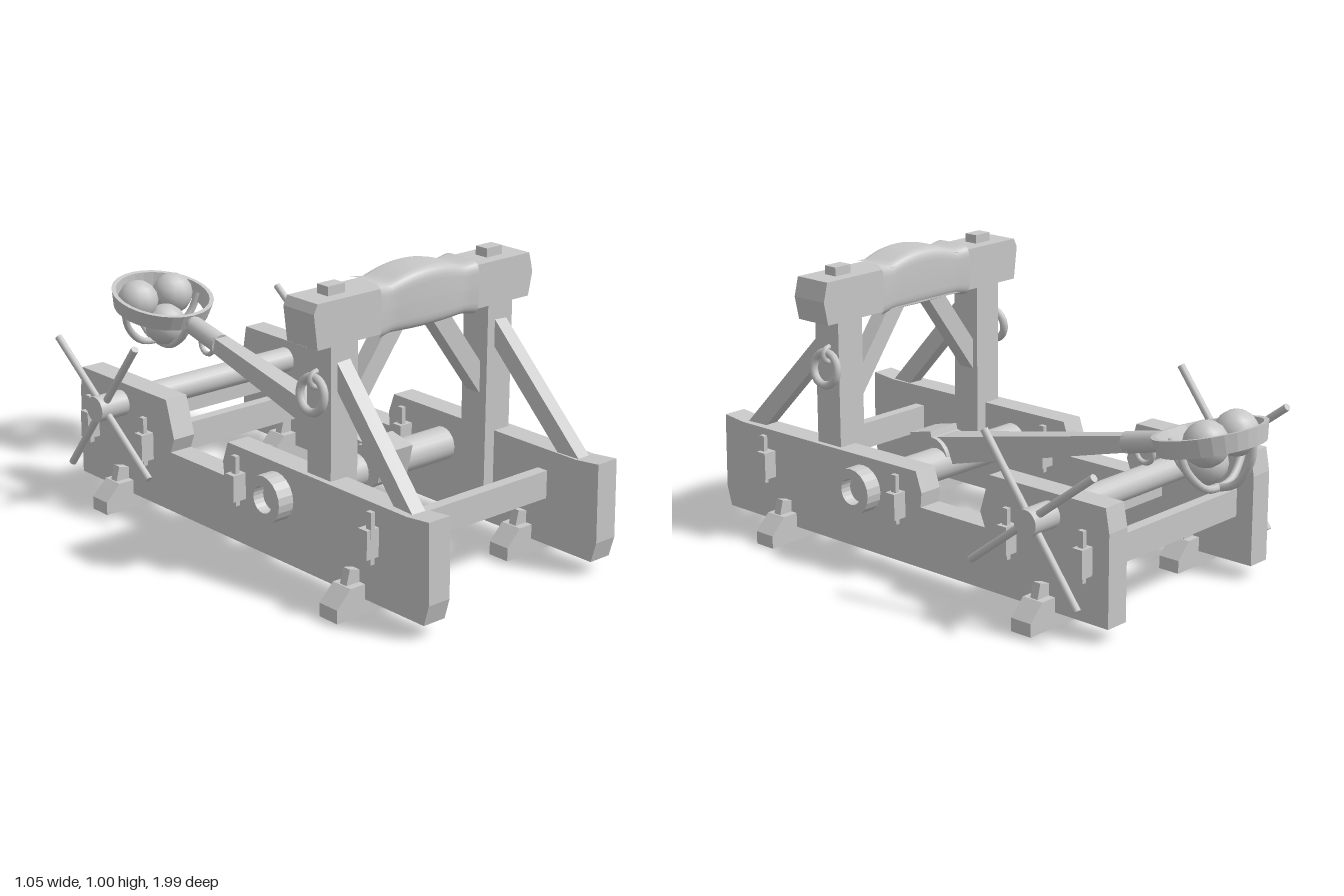
import * as THREE from 'three';

export function createModel() {
  const model = new THREE.Group();
  const grey = new THREE.MeshStandardMaterial({ color: 0xc8c8c8 });

  const add = (name, geo, x = 0, y = 0, z = 0, parent = model) => {
    const m = new THREE.Mesh(geo, grey);
    m.name = name;
    m.position.set(x, y, z);
    parent.add(m);
    return m;
  };
  const box = (name, w, h, d, x, y, z) => add(name, new THREE.BoxGeometry(w, h, d), x, y, z);
  // Round bar lying along x
  const rod = (name, r, len, x, y, z, sides = 20) =>
    add(name, new THREE.CylinderGeometry(r, r, len, sides).rotateZ(Math.PI / 2), x, y, z);
  // Square bar between two points
  const bar = (name, a, b, w, h) => {
    const p = new THREE.Vector3(...a), q = new THREE.Vector3(...b);
    const m = add(name, new THREE.BoxGeometry(w, h, p.distanceTo(q)));
    m.position.copy(p).add(q).multiplyScalar(0.5);
    m.lookAt(q);
    return m;
  };
  const extrude = (points, depth) => {
    const shape = new THREE.Shape(points.map(p => new THREE.Vector2(...p)));
    return new THREE.ExtrudeGeometry(shape, { depth, bevelEnabled: false }).translate(0, 0, -depth / 2);
  };

  const railProfile = [[0.98, 0.05], [1, 0.12], [0.995, 0.385], [0.9, 0.375], [0.06, 0.38], [0.035, 0.31],
    [0.04, 0.26], [-0.245, 0.26], [-0.225, 0.31], [-0.265, 0.44], [-0.74, 0.44], [-0.755, 0.36], [-0.755, 0.05]];
  const footProfile = [[-0.155, 0], [0.155, 0], [0.155, 0.045], [0.1, 0.1], [-0.1, 0.1], [-0.155, 0.045]];
  const peg = (x, z) => {
    box('peg', 0.016, 0.17, 0.022, x, 0.275, z);
  };

  for (const s of [-1, 1]) {
    // Long side rails
    add('sideRail', extrude(railProfile, 0.086).rotateY(-Math.PI / 2), s * 0.368, 0, 0);

    // Feet with slanted wedges
    for (const z of [0.68, -0.5]) {
      add('foot', extrude(footProfile, 0.08), s * 0.37, 0, z);
      for (const t of [-1, 1]) {
        const w = box('footWedge', 0.055, 0.06, 0.03, s * 0.37 + t * 0.062, 0.115, z);
        w.rotation.z = t * 0.25;
      }
    }

    // Uprights, front braces and inner braces
    box('upright', 0.11, 0.66, 0.11, s * 0.337, 0.49, 0.485);
    bar('frontBrace', [s * 0.362, 0.33, 0.9], [s * 0.338, 0.755, 0.5], 0.052, 0.062);
    const inner = box('innerBrace', 0.4, 0.065, 0.06, s * 0.19, 0.685, 0.48);
    inner.rotation.z = -s * 0.925;

    // Pegs and the short stub beams
    box('stubBeam', 0.19, 0.09, 0.04, s * 0.367, 0.255, 0.13);
    peg(s * 0.295, 0.13);
    for (const z of [0.77, 0.13, -0.36, -0.67]) peg(s * 0.437, z);

    // Tenon on the top beam
    box('tenon', 0.07, 0.06, 0.05, s * 0.34, 0.96, 0.48);

    // Hanging ring and its staple
    const ring = add('hangingRing', new THREE.TorusGeometry(0.056, 0.014, 8, 20).rotateY(Math.PI / 2),
      s * 0.412, 0.648, 0.475);
    ring.rotation.z = s * 0.12;
    add('staple', new THREE.TorusGeometry(0.025, 0.01, 6, 12), s * 0.395, 0.695, 0.475);

    // Hollow bearing collar on the arm axle
    const collar = [[0.045, -0.03], [0.08, -0.03], [0.08, 0.03], [0.045, 0.03], [0.045, -0.03]];
    const geo = new THREE.LatheGeometry(collar.map(p => new THREE.Vector2(...p)), 20).toNonIndexed();
    geo.computeVertexNormals();
    add('axleCollar', geo.rotateZ(Math.PI / 2), s * 0.44, 0.268, 0.305);

    // Winch spokes
    for (let i = 0; i < 2; i++) {
      const spoke = add('winchSpoke', new THREE.CylinderGeometry(0.013, 0.013, 0.63, 10),
        s * 0.493, 0.37, -0.51);
      spoke.rotation.x = 0.65 + i * Math.PI / 2;
    }
  }

  // Cross beams and axles
  for (const z of [0.76, -0.36, -0.67]) box('crossBeam', 0.92, 0.095, 0.04, 0, 0.257, z);
  rod('armAxle', 0.058, 0.86, 0, 0.268, 0.3);
  rod('winchAxle', 0.045, 1.05, 0, 0.367, -0.515);

  // Top beam with pointed ends
  add('topBeam', extrude([[-0.455, 0.815], [0.455, 0.815], [0.472, 0.895], [0.455, 0.96],
    [-0.455, 0.96], [-0.47, 0.93]], 0.14), 0, 0, 0.48);

  // Padded wrap: a tube pressed into a soft square that swells in the middle
  const pad = new THREE.CylinderGeometry(1, 1, 0.42, 32, 16, true).rotateZ(Math.PI / 2);
  const pp = pad.attributes.position;
  const soft = v => Math.sign(v) * Math.pow(Math.abs(v), 0.38);
  for (let i = 0; i < pp.count; i++) {
    const t = Math.abs(pp.getX(i)) / 0.21;
    const swell = Math.max(0, 1 - t * t * 1.7);
    const flare = Math.max(0, t - 0.72) / 0.28;
    pp.setY(i, 0.888 + 0.014 * swell + soft(pp.getY(i)) * (0.08 + 0.018 * swell + 0.01 * flare));
    pp.setZ(i, 0.482 + 0.006 * swell + soft(pp.getZ(i)) * (0.079 + 0.006 * swell + 0.006 * flare));
  }
  pad.computeVertexNormals();
  add('paddedWrap', pad);

  // Tapered throwing arm with its hub, socket and hook
  const arm = bar('throwingArm', [0, 0.3, 0.35], [0, 0.5, -0.5], 0.1, 0.1);
  const ap = arm.geometry.attributes.position;
  for (let i = 0; i < ap.count; i++) {
    if (ap.getZ(i) > 0) {
      ap.setX(i, ap.getX(i) * 0.54);
      ap.setY(i, ap.getY(i) * 0.55);
    }
  }
  arm.geometry.computeVertexNormals();
  rod('armHub', 0.075, 0.13, 0, 0.285, 0.325);
  const block = box('hubBlock', 0.13, 0.11, 0.1, 0, 0.315, 0.365);
  block.rotation.x = 0.23;
  const socket = add('armSocket', new THREE.CylinderGeometry(0.035, 0.037, 0.15, 16).rotateX(-Math.PI / 2),
    0, 0.515, -0.56);
  socket.rotation.x = 0.23;
  add('hook', new THREE.TorusGeometry(0.035, 0.009, 8, 16).rotateY(Math.PI / 2), 0, 0.48, -0.56);

  // Basket: tilted band with curved ribs beneath
  const basket = new THREE.Group();
  basket.name = 'basket';
  basket.position.set(0, 0.585, -0.82);
  basket.rotation.x = 0.23;
  model.add(basket);
  const band = [[0.158, -0.032], [0.172, -0.032], [0.186, 0.028], [0.17, 0.028], [0.158, -0.032]];
  const bandGeo = new THREE.LatheGeometry(band.map(p => new THREE.Vector2(...p)), 28).toNonIndexed();
  bandGeo.computeVertexNormals();
  add('basketBand', bandGeo, 0, 0, 0, basket);
  const ribCurve = new THREE.CatmullRomCurve3([[-0.166, 0], [-0.14, -0.08], [-0.07, -0.148], [0, -0.16],
    [0.07, -0.148], [0.14, -0.08], [0.166, 0]].map(([x, y]) => new THREE.Vector3(x, y, 0)));
  for (let i = 0; i < 2; i++) {
    const rib = add('basketRib', new THREE.TubeGeometry(ribCurve, 24, 0.013, 8), 0, 0, 0, basket);
    rib.rotation.y = i * Math.PI / 2;
  }
  add('basketNeck', new THREE.CylinderGeometry(0.024, 0.024, 0.06, 12).rotateX(Math.PI / 2), 0, 0, 0.2, basket);

  // Stones in the basket
  for (const [x, y, z] of [[-0.078, 0.59, -0.86], [0.078, 0.59, -0.86], [0, 0.5, -0.8]]) {
    add('stone', new THREE.SphereGeometry(0.075, 12, 8), x, y, z);
  }
  return model;
}
